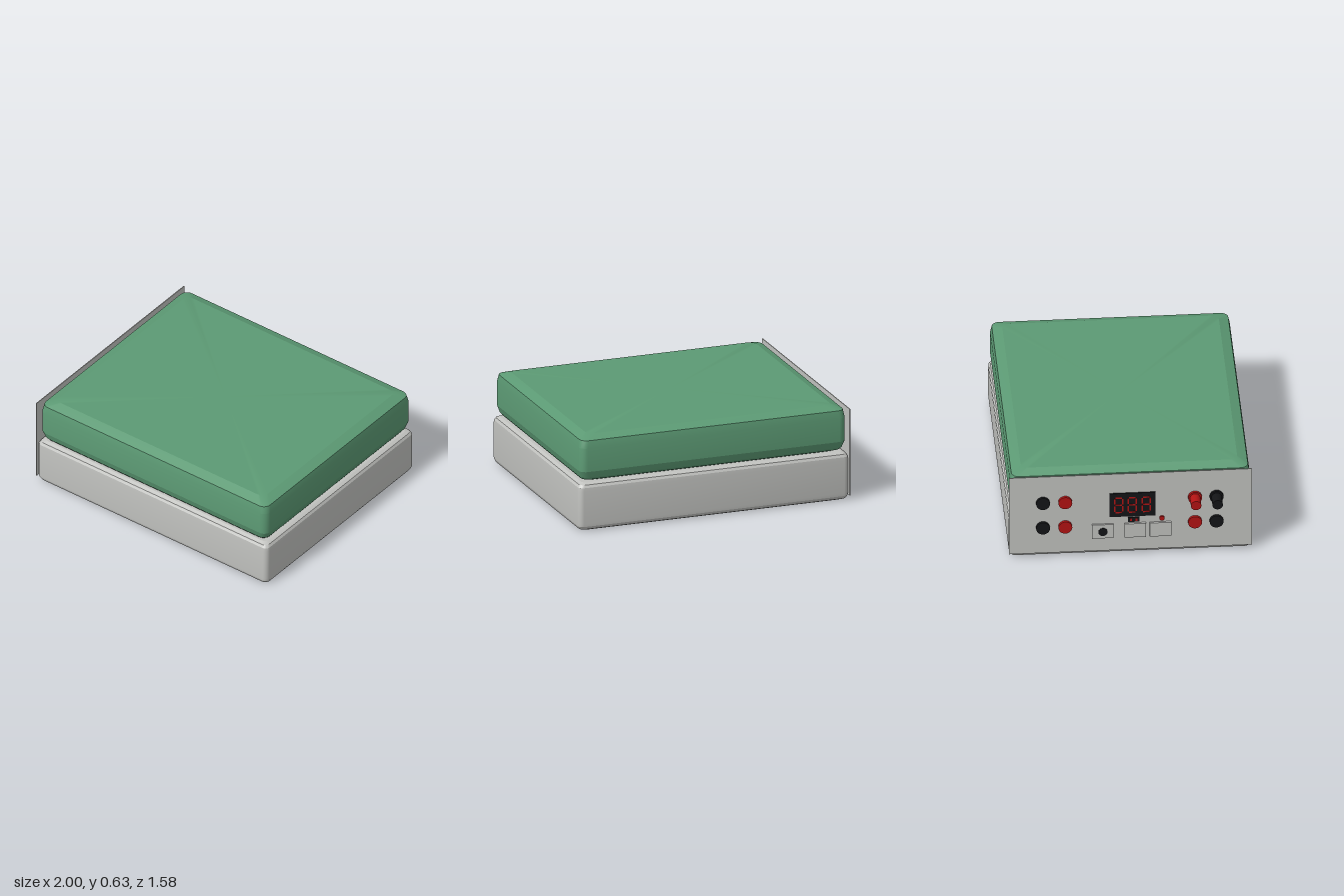
import * as THREE from 'three';
import { toCreasedNormals } from 'three/addons/utils/BufferGeometryUtils.js';

const paint = (name, color) => {
  const m = new THREE.MeshStandardMaterial({ color });
  m.name = name;
  return m;
};

// Rounded-corner block lofted from rings of [height, inset]
function loftBlock(x0, x1, halfZ, radius, rings) {
  const steps = 6, cx = (x0 + x1) / 2, halfX = (x1 - x0) / 2;
  const loops = rings.map(([y, inset]) => {
    const loop = [];
    for (let q = 0; q < 4; q++) {
      const sx = q === 0 || q === 3 ? 1 : -1, sz = q < 2 ? 1 : -1;
      for (let i = 0; i <= steps; i++) {
        const a = (q + i / steps) * Math.PI / 2;
        loop.push([
          cx + sx * (halfX - inset - radius) + radius * Math.cos(a), y,
          sz * (halfZ - inset - radius) + radius * Math.sin(a)]);
      }
    }
    return loop;
  });
  const pos = [], n = loops[0].length;
  const tri = (a, b, c) => pos.push(...a, ...b, ...c);
  const last = loops.length - 1;
  const bottom = [cx, rings[0][0], 0], top = [cx, rings[last][0], 0];
  for (let i = 0; i < n; i++) {
    const j = (i + 1) % n;
    for (let k = 0; k < last; k++) {
      const lo = loops[k], hi = loops[k + 1];
      tri(lo[i], hi[i], lo[j]);
      tri(lo[j], hi[i], hi[j]);
    }
    tri(bottom, loops[0][i], loops[0][j]);
    tri(top, loops[last][j], loops[last][i]);
  }
  const g = new THREE.BufferGeometry();
  g.setAttribute('position', new THREE.Float32BufferAttribute(pos, 3));
  return toCreasedNormals(g, 0.3);
}

export function createModel() {
  const green = paint('green casing', 0x5c9a74);
  const grey = paint('light grey casing', 0xc2c3c0);
  const black = paint('black plastic', 0x141517);
  const red = paint('red plastic', 0xb41414);
  const group = new THREE.Group();
  const panelX = -0.891;

  const add = (name, geo, mat, x = 0, y = 0, z = 0, parent = group) => {
    const m = new THREE.Mesh(geo, mat);
    m.name = name;
    m.position.set(x, y, z);
    parent.add(m);
    return m;
  };
  // Plate and disc standing out from the panel towards -x
  const plate = (name, mat, y, z, h, w, from, depth, parent) =>
    add(name, new THREE.BoxGeometry(depth, h, w), mat, panelX - from - depth / 2, y, z, parent);
  const disc = (name, mat, y, z, r, from, depth, parent) =>
    add(name, new THREE.CylinderGeometry(r, r, depth, 24).rotateZ(Math.PI / 2), mat,
      panelX - from - depth / 2, y, z, parent);

  // Stacked casings
  add('lowerCasing', loftBlock(-0.885, 0.995, 0.79, 0.035, [
    [0, 0.035], [0.01, 0.012], [0.03, 0.002], [0.05, 0], [0.27, 0], [0.295, 0.002], [0.312, 0.012], [0.322, 0.035]
  ]), grey);
  add('upperCasing', loftBlock(-0.87, 0.98, 0.78, 0.05, [
    [0.322, 0.07], [0.34, 0.025], [0.355, 0.014], [0.40, 0], [0.56, 0], [0.61, 0.01], [0.635, 0.075]
  ]), green);

  // Thin connection panel
  add('connectionPanel', new THREE.BoxGeometry(0.006, 0.59, 1.58), grey, -0.888, 0.325, 0);

  // Four pairs of terminals; the upper far pair carries long posts
  for (const y of [0.42, 0.23]) {
    for (const [z, mat] of [[-0.57, black], [-0.425, red], [0.42, red], [0.56, black]]) {
      const terminal = new THREE.Group();
      terminal.name = 'terminal';
      group.add(terminal);
      disc('terminalCollar', mat, y, z, 0.045, 0, 0.018, terminal);
      if (z > 0 && y > 0.3) disc('terminalPost', mat, y, z, 0.034, 0.018, 0.091, terminal);
    }
  }

  // Display with three seven-segment figures
  plate('displayWindow', black, 0.382, 0.012, 0.18, 0.3, 0, 0.008);
  for (const z of [-0.078, 0.012, 0.102]) {
    const figure = new THREE.Group();
    figure.name = 'displayFigure';
    group.add(figure);
    for (const dy of [-0.056, 0, 0.056]) plate('segment', red, 0.382 + dy, z, 0.01, 0.042, 0.008, 0.002, figure);
    for (const dy of [-0.028, 0.028])
      for (const dz of [-0.026, 0.026]) plate('segment', red, 0.382 + dy, z + dz, 0.042, 0.01, 0.008, 0.002, figure);
  }

  // Charging socket
  plate('socketPlate', grey, 0.185, -0.18, 0.105, 0.14, 0, 0.012);
  disc('socketHole', black, 0.182, -0.18, 0.03, 0.012, 0.003);

  // Two push buttons
  for (const z of [0.03, 0.195]) plate('button', grey, 0.185, z, 0.105, 0.14, 0, 0.014);

  // Indicators above the buttons
  plate('indicatorPlate', black, 0.265, 0.02, 0.035, 0.075, 0, 0.006);
  for (const z of [0.002, 0.038]) plate('indicatorLight', red, 0.265, z, 0.018, 0.014, 0.006, 0.003);
  disc('statusLight', red, 0.268, 0.205, 0.017, 0, 0.012);

  return group;
}
